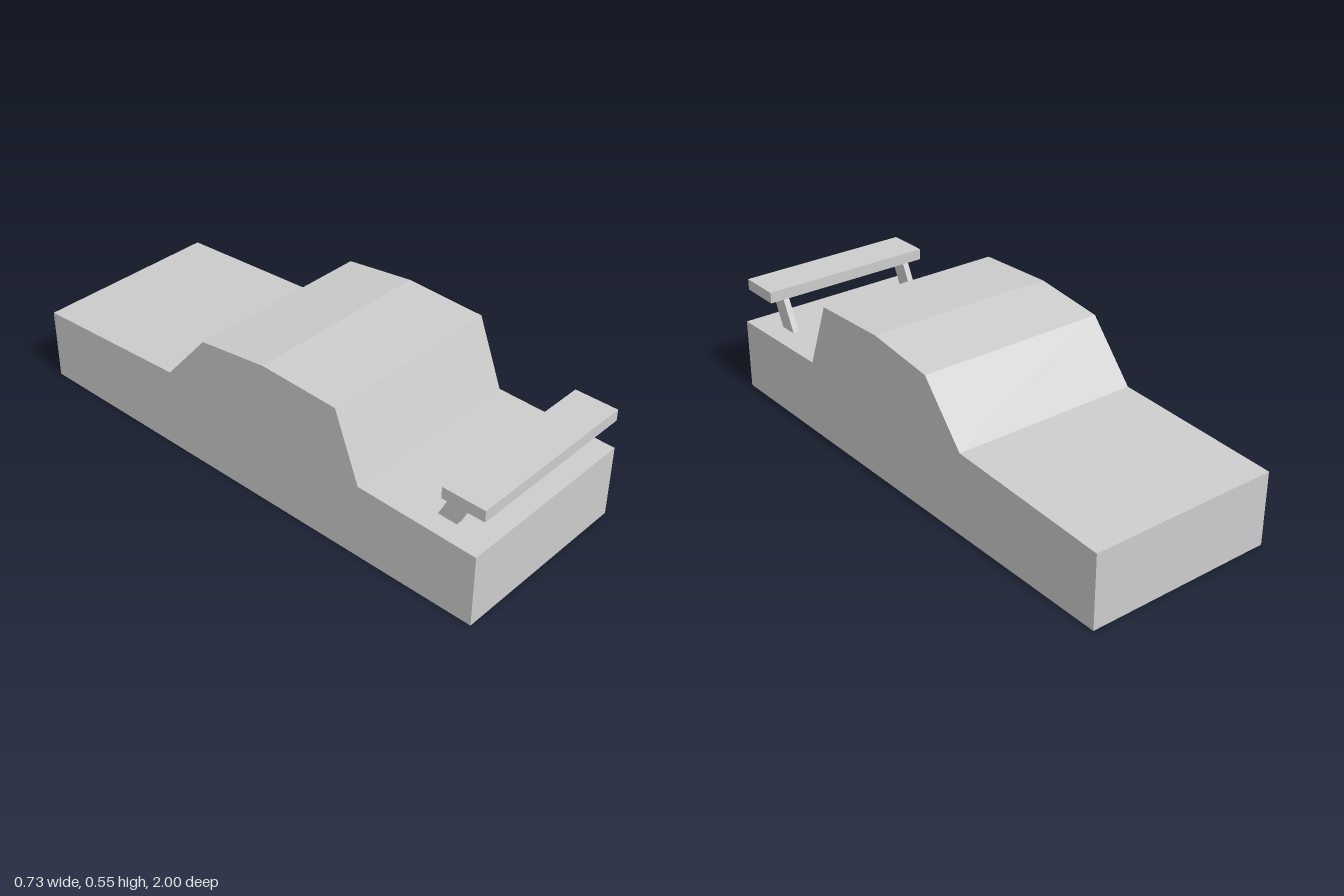
import * as THREE from 'three';

export function createModel() {
  const group = new THREE.Group();
  group.name = 'car';
  const grey = new THREE.MeshStandardMaterial({ color: 0xcccccc, flatShading: true });
  grey.name = 'light grey';

  // Extrudes a side profile of [z, y] points across x, centred on the given x
  function sideExtrude(name, points, width, x = 0) {
    const shape = new THREE.Shape(points.map(([z, y]) => new THREE.Vector2(z, y)));
    const geometry = new THREE.ExtrudeGeometry(shape, { depth: width, bevelEnabled: false });
    geometry.translate(0, 0, -width / 2);
    geometry.rotateY(-Math.PI / 2);
    const mesh = new THREE.Mesh(geometry, grey);
    mesh.name = name;
    mesh.position.x = x;
    group.add(mesh);
  }

  // Body with cabin, as one slab-sided wedge
  sideExtrude('body', [
    [-1, 0], [0.995, 0], [0.995, 0.276], [0.525, 0.286], [0.425, 0.542],
    [0.11, 0.553], [-0.17, 0.518], [-0.35, 0.311], [-1, 0.277],
  ], 0.734);

  // Slanted wing posts, sunk slightly into the deck
  for (const [side, x] of [['left', 0.274], ['right', -0.277]]) {
    sideExtrude(`${side}WingPost`, [
      [0.785, 0.279], [0.86, 0.279], [0.92, 0.403], [0.845, 0.403],
    ], 0.024, x);
  }

  // Wing plate
  const wing = new THREE.Mesh(new THREE.BoxGeometry(0.688, 0.043, 0.164), grey);
  wing.name = 'wing';
  wing.position.set(0, 0.4235, 0.918);
  group.add(wing);

  return group;
}
